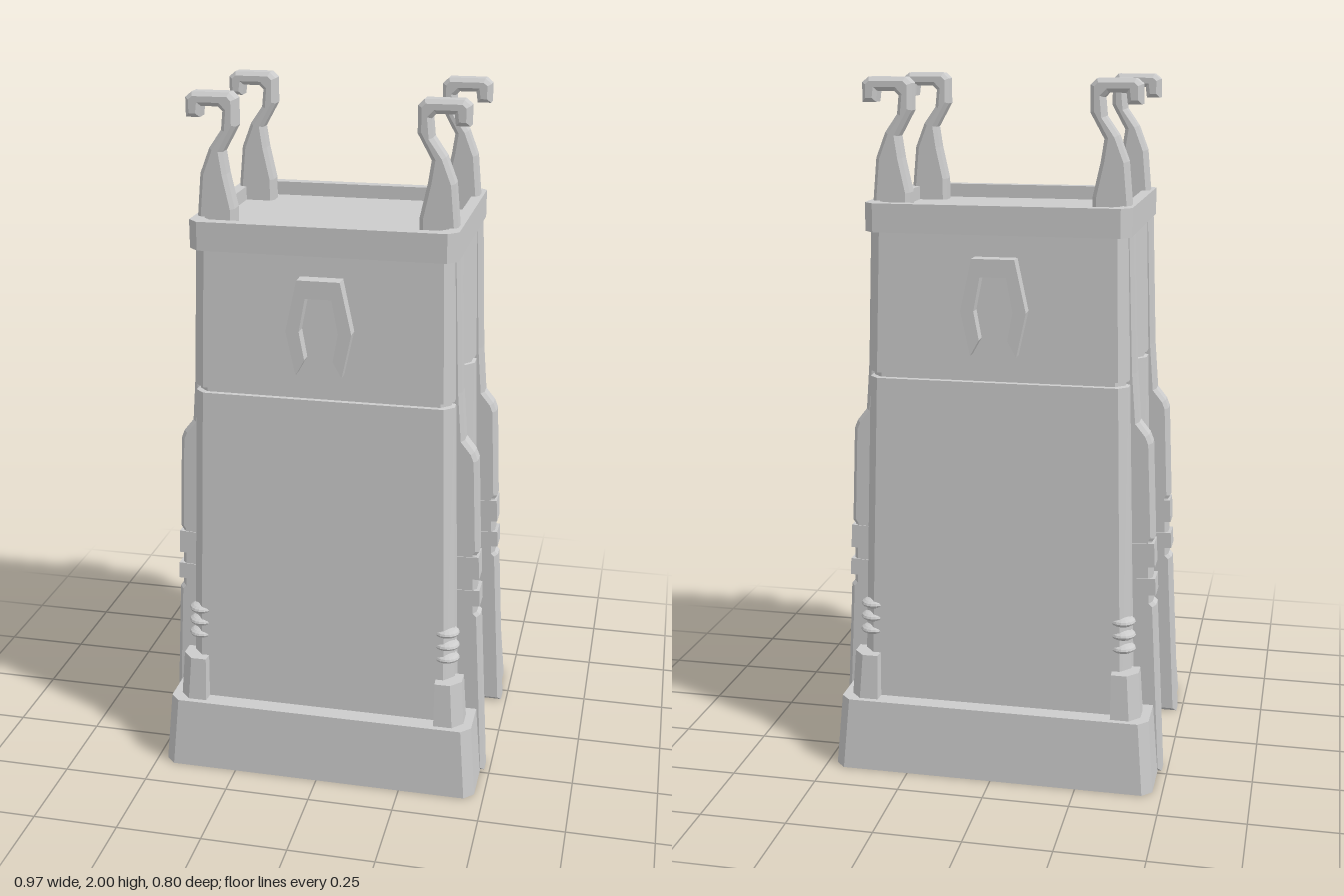
import * as THREE from 'three';

const mat = new THREE.MeshStandardMaterial({ color: 0xcccccc, flatShading: true, side: THREE.DoubleSide });

function add(parent, name, geometry) {
  const mesh = new THREE.Mesh(geometry, mat);
  mesh.name = name;
  parent.add(mesh);
  return mesh;
}

// Skin a stack of rings; each ring is { y, pts: [[x, z], ...] } running from +x towards +z.
function loft(rings, closeTop) {
  const pos = [];
  const put = (r, i) => {
    const p = r.pts[i % r.pts.length];
    pos.push(p[0], r.y, p[1]);
  };
  for (let k = 0; k < rings.length - 1; k++) {
    const a = rings[k], b = rings[k + 1];
    for (let i = 0; i < a.pts.length; i++) {
      put(a, i); put(b, i); put(a, i + 1);
      put(b, i); put(b, i + 1); put(a, i + 1);
    }
  }
  if (closeTop) {
    const t = rings[rings.length - 1];
    for (let i = 1; i < t.pts.length - 1; i++) { put(t, 0); put(t, i + 1); put(t, i); }
  }
  const g = new THREE.BufferGeometry();
  g.setAttribute('position', new THREE.Float32BufferAttribute(pos, 3));
  g.computeVertexNormals();
  return g;
}

// Mirror a quarter outline into a full ring
function fullRing(q) {
  const r = [...q].reverse();
  return [
    ...q,
    ...r.map(([x, z]) => [-x, z]),
    ...q.map(([x, z]) => [-x, -z]),
    ...r.map(([x, z]) => [x, -z]),
  ];
}

// Tapered body outline at height y, with a splayed channel down each side
function bodyRing(y, inset = 0, channel = true) {
  const t = y / 1.6, L = THREE.MathUtils.lerp;
  const side = L(0.405, 0.358, t) - inset, front = L(0.34, 0.285, t) - inset;
  const edge = L(0.375, 0.333, t) - inset, sideEdge = L(0.305, 0.262, t) - inset;
  const outer = L(0.176, 0.122, t), inner = L(0.133, 0.09, t);
  const lip = channel ? side - 0.03 : side, floor = channel ? L(0.295, 0.27, t) : side;
  return { y, pts: fullRing([[floor, inner], [lip, inner], [side, outer], [side, sideEdge], [edge, front]]) };
}

function shape(points) {
  return new THREE.Shape(points.map(([x, y]) => new THREE.Vector2(x, y)));
}

function chamferRect(hx, hz, c) {
  return [[hx, -hz + c], [hx, hz - c], [hx - c, hz], [-hx + c, hz],
    [-hx, hz - c], [-hx, -hz + c], [-hx + c, -hz], [hx - c, -hz]];
}

// Foundation slab outline
function slabRing(y, hx, hz) {
  const c = 0.028, zi = 0.2;
  return { y, pts: [[hx, zi], [hx, hz - c], [hx - c, hz], [-hx + c, hz], [-hx, hz - c], [-hx, zi]] };
}

export function createModel() {
  const model = new THREE.Group();
  model.name = 'tower';

  // Main body, with a thin groove around it
  add(model, 'body', loft([
    bodyRing(0), bodyRing(1.168), bodyRing(1.17, 0.01), bodyRing(1.182, 0.01), bodyRing(1.184),
    bodyRing(1.495), bodyRing(1.495, 0, false), bodyRing(1.6, 0, false),
  ]));

  // Parapet rim and sunken roof floor
  const rimShape = shape(chamferRect(0.373, 0.31, 0.028));
  rimShape.holes.push(new THREE.Path(chamferRect(0.34, 0.275, 0.022).map(([x, y]) => new THREE.Vector2(x, y))));
  const rim = add(model, 'parapet', new THREE.ExtrudeGeometry(rimShape, { depth: 0.08, bevelEnabled: false }));
  rim.rotation.x = -Math.PI / 2;
  rim.position.y = 1.582;
  const roof = add(model, 'roof', new THREE.BoxGeometry(0.7, 0.02, 0.57));
  roof.position.y = 1.612;

  // Foundation slabs and horseshoe emblems, front and back
  const archHalf = [[0.06, 1.52], [0.092, 1.375], [0.065, 1.25], [0.04, 1.295], [0.055, 1.375], [0.037, 1.47]];
  const arch = shape([...archHalf, ...[...archHalf].reverse().map(([x, y]) => [-x, y])]);
  for (const turn of [0, Math.PI]) {
    const face = new THREE.Group();
    face.name = turn ? 'backFace' : 'frontFace';
    face.rotation.y = turn;
    add(face, 'foundation', loft([slabRing(0, 0.472, 0.398), slabRing(0.212, 0.455, 0.383)], true));
    const emblem = add(face, 'archOrnament', new THREE.ExtrudeGeometry(arch, { depth: 0.063, bevelEnabled: false }));
    emblem.position.z = 0.27;
    model.add(face);
  }

  // Side rib running from the ground up into a hook
  const ribProfile = shape([
    [0.33, 0], [0.484, 0], [0.456, 0.52], [0.446, 0.53], [0.44, 0.71], [0.447, 0.72], [0.435, 1.0],
    [0.425, 1.025], [0.397, 1.06], [0.386, 1.2], [0.372, 1.58], [0.363, 1.66], [0.352, 1.78],
    [0.325, 1.85], [0.29, 1.9], [0.285, 1.95], [0.297, 1.962], [0.345, 1.962], [0.349, 1.932],
    [0.388, 1.932], [0.388, 1.985], [0.37, 2.0], [0.265, 2.0], [0.248, 1.983], [0.248, 1.91],
    [0.287, 1.84], [0.278, 1.78], [0.257, 1.685], [0.257, 1.6], [0.3, 1.5],
  ]);
  const ribGeo = new THREE.ExtrudeGeometry(ribProfile, {
    depth: 0.041, bevelEnabled: true, bevelThickness: 0.011, bevelSize: 0.011, bevelOffset: -0.011, bevelSegments: 1,
  });

  // Outlines of the corner blocks
  const cornerRing = (y, d) => ({
    y, pts: [[0.34, 0.28], [0.43 - d, 0.28], [0.43 - d, 0.335 - d], [0.4 - d, 0.367 - d], [0.345, 0.367 - d]],
  });

  for (const sx of [1, -1]) {
    for (const sz of [1, -1]) {
      const corner = new THREE.Group();
      corner.name = (sz > 0 ? 'front' : 'back') + (sx > 0 ? 'Left' : 'Right') + 'Corner';
      corner.scale.set(sx, 1, sz);
      const rib = add(corner, 'hookedRib', ribGeo);
      rib.position.z = 0.191;
      // Raised bands on the rib
      for (const [y, h] of [[0.575, 0.05], [0.67, 0.07]]) {
        const band = add(corner, 'ribBand', new THREE.BoxGeometry(0.1, h, 0.068));
        band.position.set(0.404 - 0.05 * (y - 0.575), y, 0.2115);
        band.rotation.z = 0.05;
      }
      add(corner, 'cornerBlock', loft([cornerRing(0.2, 0), cornerRing(0.345, 0.01)], true));
      // Stacked rounded fins
      for (let i = 0; i < 3; i++) {
        const fin = add(corner, 'cornerFin', new THREE.SphereGeometry(1, 16, 8));
        fin.scale.set(0.038, 0.015, 0.037);
        fin.position.set(0.37 - i * 0.001, 0.41 + i * 0.04, 0.3 - i * 0.001);
      }
      model.add(corner);
    }
  }
  return model;
}
